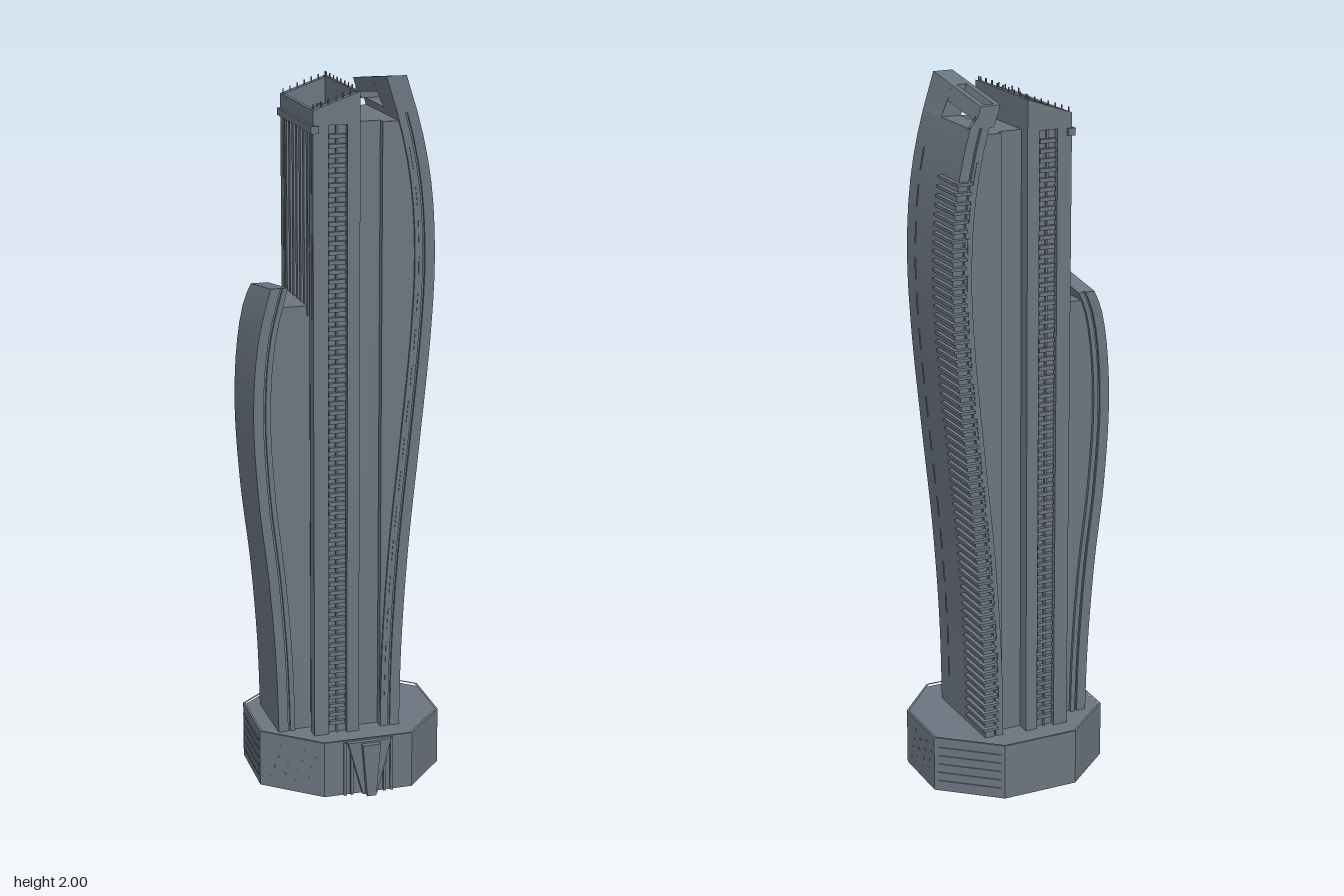
import * as THREE from 'three';
import { toCreasedNormals } from 'three/addons/utils/BufferGeometryUtils.js';

const material = new THREE.MeshStandardMaterial({ color: 0x6b7580 });

// Outward bulge of the two curved wings by height
const profile = (ys, us) => {
  const spline = new THREE.CubicInterpolant(ys, us, 1);
  return y => spline.evaluate(y)[0];
};
const tallCurve = profile([0.1, 0.4, 0.7, 1, 1.3, 1.5, 1.7, 1.85, 2],
  [0.137, 0.143, 0.162, 0.192, 0.22, 0.229, 0.218, 0.19, 0.145]);
const shortCurve = profile([0.1, 0.35, 0.6, 0.85, 1.1, 1.3, 1.45],
  [0.203, 0.21, 0.228, 0.256, 0.268, 0.252, 0.215]);

function add(parent, name, geometry) {
  const mesh = new THREE.Mesh(geometry, material);
  mesh.name = name;
  parent.add(mesh);
  return mesh;
}

// Box given by its ranges
function box(parent, name, [x0, x1], [y0, y1], [z0, z1]) {
  add(parent, name, new THREE.BoxGeometry(x1 - x0, y1 - y0, z1 - z0))
    .position.set((x0 + x1) / 2, (y0 + y1) / 2, (z0 + z1) / 2);
}

function prism(points, z0, z1) {
  const shape = new THREE.Shape(points.map(p => new THREE.Vector2(...p)));
  return new THREE.ExtrudeGeometry(shape, { depth: z1 - z0, bevelEnabled: false }).translate(0, 0, z0);
}

// Slab between two offsets of a curve; inner may be a fixed plane; its top can fall towards the back
function curvedSlab(parent, name, { curve, side, t0 = 0, t1, plane, y, z, tilt = 0, tiltFrom = 9 }) {
  const outer = [], inner = [], n = y[1] - y[0] > 0.3 ? 28 : 4;
  for (let i = 0; i <= n; i++) {
    const h = y[0] + (y[1] - y[0]) * i / n;
    const u = curve(h);
    outer.push([side * (u - t0), h]);
    inner.unshift([side * (plane ?? u - t1), h]);
  }
  const geometry = prism([...outer, ...inner], z[0], z[1]);
  const p = geometry.attributes.position;
  for (let i = 0; i < p.count; i++) {
    const k = THREE.MathUtils.clamp((p.getY(i) - tiltFrom) / 0.04, 0, 1);
    p.setY(i, p.getY(i) - k * tilt * (z[2] ?? 0.147) + k * tilt * p.getZ(i));
  }
  add(parent, name, toCreasedNormals(geometry, 0.4));
}

function buildBase(root, tower) {
  const corners = [[0.018, -0.26], [0.215, -0.195], [0.288, -0.015], [0.227, 0.158],
    [-0.01, 0.256], [-0.2, 0.193], [-0.275, 0], [-0.187, -0.175]];
  const flat = corners.map(([x, z]) => [x, -z]);
  const upright = (points, y0, y1) => prism(points, y0, y1).rotateX(-Math.PI / 2);
  add(root, 'podium', upright(flat, 0, 0.155));
  const rim = new THREE.Shape(flat.map(p => new THREE.Vector2(...p)));
  rim.holes.push(new THREE.Path(flat.map(([x, y]) => new THREE.Vector2(x * 0.975, y * 0.975))));
  add(root, 'podiumRim', new THREE.ExtrudeGeometry(rim, { depth: 0.012, bevelEnabled: false })
    .rotateX(-Math.PI / 2).translate(0, 0.152, 0));

  // Details laid on a podium wall: x runs along the wall, z points outwards
  const wall = i => {
    const [a, b] = [corners[i], corners[(i + 1) % 8]];
    const group = new THREE.Group();
    group.position.set((a[0] + b[0]) / 2, 0, (a[1] + b[1]) / 2);
    group.rotation.y = Math.atan2(b[1] - a[1], -(b[0] - a[0]));
    group.userData.length = Math.hypot(a[0] - b[0], a[1] - b[1]);
    root.add(group);
    return group;
  };
  for (const i of [0, 5]) {
    const group = wall(i), half = group.userData.length / 2 - 0.012;
    group.name = 'louvres';
    for (let k = 0; k < 5; k++) box(group, 'louvre', [-half, half], [0.025 + k * 0.026, 0.032 + k * 0.026], [-0.004, 0.003]);
  }
  for (const i of [1, 4]) {
    const group = wall(i);
    group.name = 'smallWindows';
    for (let k = 0; k < 14; k++) {
      const x = -0.07 + (k * 5 % 14) * 0.0108, y = 0.03 + (k * 3 % 7) * 0.016;
      box(group, 'smallWindow', [x, x + 0.007], [y, y + 0.006], [-0.002, 0.001]);
    }
  }

  // Tapered entrance
  add(tower, 'entrance', prism([[0, 0], [0.042, 0], [0.082, 0.16], [-0.043, 0.16]], 0.22, 0.246));
  add(tower, 'entrancePanel', prism([[0.008, 0], [0.034, 0], [0.047, 0.155], [-0.005, 0.155]], 0.24, 0.262));
  for (const x of [-0.05, -0.03, 0.066, 0.086]) box(tower, 'entrancePost', [x - 0.004, x + 0.004], [0, 0.16], [0.22, 0.24]);
}

function buildCore(tower) {
  box(tower, 'coreBody', [-0.108, 0.01], [0.15, 1.88], [-0.142, 0.142]);
  box(tower, 'coreLink', [0, 0.1], [0.15, 1.88], [-0.118, 0.118]);
  for (const s of [-1, 1]) {
    const range = (a, b) => s > 0 ? [a, b] : [-b, -a];
    for (const x of [[-0.115, -0.073], [-0.02, 0.015]]) box(tower, 'corePillar', x, [0.15, 1.89], range(0.12, 0.157));
    for (let y = 0.18; y < 1.87; y += 0.026) box(tower, 'coreBalcony', [-0.07, -0.024], [y, y + 0.011], range(0.13, 0.153));
    box(tower, 'balconySpine', [-0.05, -0.044], [0.15, 1.88], range(0.13, 0.149));
    // Sloping parapet wall
    const z = range(0.135, 0.157);
    add(tower, 'crownWall', prism([[-0.115, 1.88], [0.015, 1.88], [0.015, 1.965], [-0.115, 1.92]], ...z));
    for (let i = 0; i < 7; i++) {
      const x = -0.11 + i * 0.02, y = 1.92 + i * 0.007;
      box(tower, 'crownRod', [x - 0.0015, x + 0.0015], [y - 0.02, y + 0.014], range(0.145, 0.148));
    }
  }
  box(tower, 'crownLowWall', [-0.115, -0.105], [1.88, 1.92], [-0.15, 0.15]);
  box(tower, 'crownHighWall', [0.005, 0.015], [1.88, 1.965], [-0.15, 0.15]);
  box(tower, 'crownLedge', [-0.122, -0.1], [1.86, 1.88], [-0.165, 0.165]);
  // Ribs on the exposed upper side
  for (let i = 0; i < 9; i++) {
    const z = -0.136 + i * 0.034;
    box(tower, 'sideRib', [-0.116, -0.1], [1.36, 1.87], [z - 0.008, z + 0.008]);
    box(tower, 'roofRod', [0.008, 0.011], [1.95, 1.976], [z - 0.0015, z + 0.0015]);
  }
}

// Outer band of a wing, with a groove running up its edges
function wingBand(parent, name, spec, half) {
  for (const [t0, t1, inset] of [[0, 0.028, 0], [0.028, 0.034, 0.007], [0.034, spec.thick, 0]]) {
    curvedSlab(parent, name, { ...spec, t0, t1, z: [-half + inset, half - inset, half] });
  }
}

function buildTallWing(tower) {
  const spec = { curve: tallCurve, side: 1, thick: 0.056, tilt: 0.15, tiltFrom: 1.9 };
  wingBand(tower, 'tallWingBand', { ...spec, y: [0.15, 1.9] }, 0.147);
  curvedSlab(tower, 'tallWingInfill', { ...spec, t0: 0.05, plane: 0.082, y: [0.15, 1.88], z: [-0.14, 0.14] });

  // Crown: solid at the front, an open frame at the back
  const crown = (name, t0, t1, y, z) =>
    curvedSlab(tower, name, { ...spec, t0, t1, y, z: [...z, 0.147] });
  crown('crownBlock', 0, 0.056, [1.9, 2], [0.03, 0.147]);
  crown('crownOuterRail', 0, 0.014, [1.96, 2], [-0.147, 0.03]);
  crown('crownInnerRail', 0.042, 0.056, [1.96, 2], [-0.147, 0.03]);
  crown('crownEndPost', 0, 0.056, [1.9, 2], [-0.147, -0.135]);

  // Balconies stacked on the rear half of the outer face
  for (let y = 0.18; y < 1.76; y += 0.025) {
    const u = tallCurve(y);
    box(tower, 'wingBalcony', [u - 0.035, u + 0.011], [y, y + 0.008], [-0.161, -0.04]);
  }
  // Slit windows along the outer face and the front and back edges
  for (let y = 0.25; y < 1.8; y += 0.1) {
    const lean = Math.atan2(tallCurve(y) - tallCurve(y + 0.06), 0.06);
    const slit = (u, z) => {
      const mesh = add(tower, 'slitWindow', new THREE.BoxGeometry(0.004, 0.06, 0.004));
      mesh.position.set(u, y + 0.03, z);
      mesh.rotation.z = lean;
    };
    slit(tallCurve(y + 0.03), 0.09);
    for (const z of [-0.147, 0.147]) slit(tallCurve(y + 0.03) - 0.044, z);
  }
}

function buildShortWing(tower) {
  const spec = { curve: shortCurve, side: -1, thick: 0.048, tilt: 0.15, tiltFrom: 1.38 };
  wingBand(tower, 'shortWingBand', { ...spec, y: [0.15, 1.44] }, 0.103);
  curvedSlab(tower, 'shortWingInfill', { ...spec, t0: 0.042, plane: 0.1, tilt: 0, y: [0.15, 1.385], z: [-0.094, 0.094] });
}

export function createModel() {
  const model = new THREE.Group();
  model.name = 'skyscraper';
  const tower = new THREE.Group();
  tower.name = 'tower';
  tower.rotation.y = 0.4;
  model.add(tower);
  buildBase(model, tower);
  buildCore(tower);
  buildTallWing(tower);
  buildShortWing(tower);
  return model;
}
